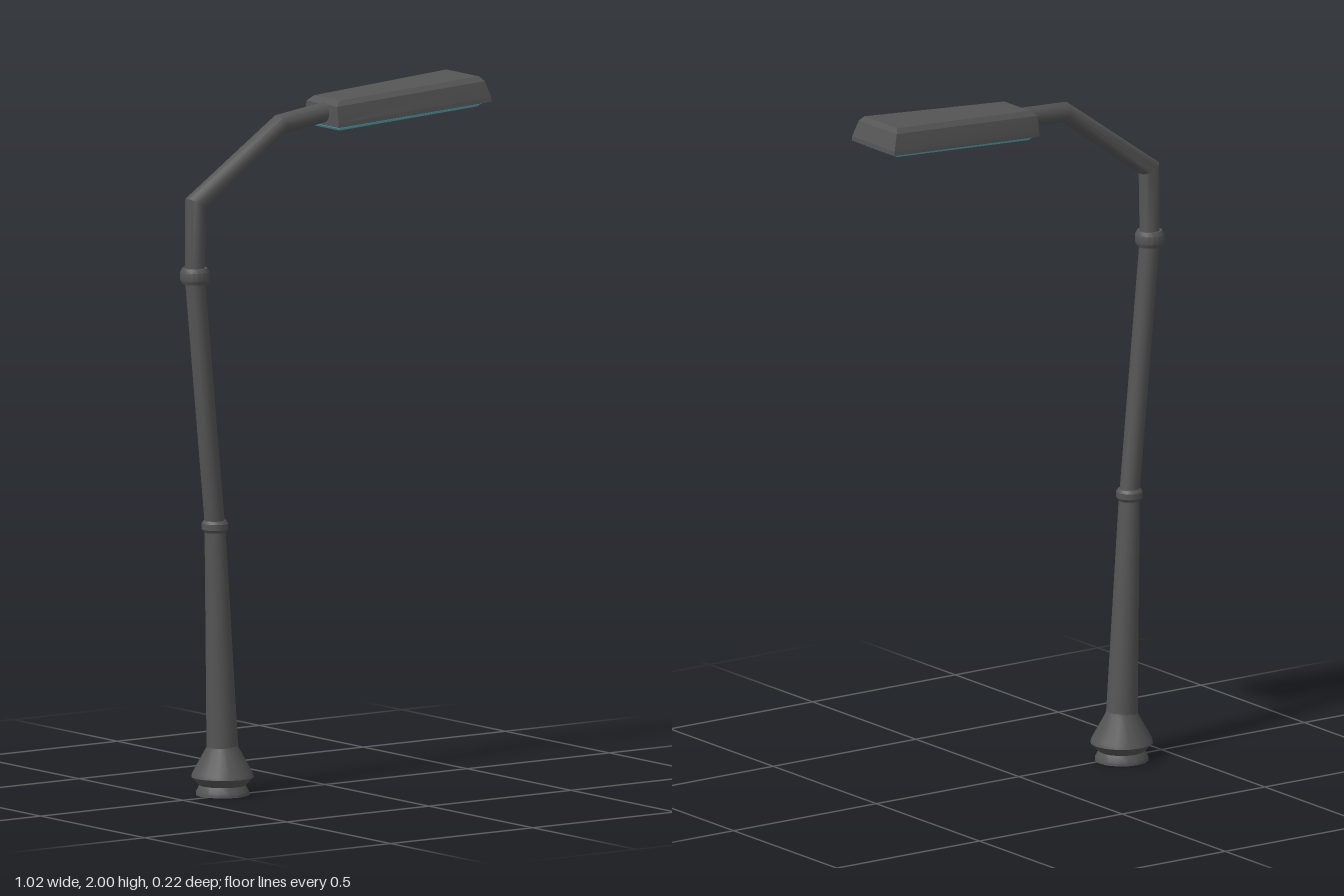
import * as THREE from 'three';
import { toCreasedNormals } from 'three/addons/utils/BufferGeometryUtils.js';

const SIDES = 16;
const metal = new THREE.MeshStandardMaterial({ color: 0x555555 });
const glass = new THREE.MeshStandardMaterial({ color: 0x5fb8c4 });

// Skin a stack of equal-length loops (counter-clockwise seen from the far end) and cap both ends
function skin(loops, crease) {
  const n = loops[0].length, pos = [];
  const tri = (...pts) => pts.forEach((p) => pos.push(p.x, p.y, p.z));
  for (let i = 0; i < loops.length - 1; i++) {
    for (let j = 0; j < n; j++) {
      const k = (j + 1) % n, a = loops[i], b = loops[i + 1];
      tri(a[j], a[k], b[k]);
      tri(a[j], b[k], b[j]);
    }
  }
  const first = loops[0], last = loops[loops.length - 1];
  for (let j = 1; j < n - 1; j++) {
    tri(first[0], first[j + 1], first[j]);
    tri(last[0], last[j], last[j + 1]);
  }
  const g = new THREE.BufferGeometry();
  g.setAttribute('position', new THREE.Float32BufferAttribute(pos, 3));
  return toCreasedNormals(g, crease);
}

// Round tube through stations [x, y, z, radius] with bent joints
function bentTube(stations) {
  const pts = stations.map((s) => new THREE.Vector3(s[0], s[1], s[2]));
  const dirs = pts.slice(1).map((p, i) => p.clone().sub(pts[i]).normalize());
  const loops = pts.map((p, i) => {
    const t = new THREE.Vector3();
    if (i > 0) t.add(dirs[i - 1]);
    if (i < dirs.length) t.add(dirs[i]);
    t.normalize();
    const u = new THREE.Vector3(0, 0, 1).addScaledVector(t, -t.z).normalize();
    const v = new THREE.Vector3().crossVectors(t, u);
    return Array.from({ length: SIDES }, (_, j) => {
      const a = (j / SIDES) * Math.PI * 2, r = stations[i][3];
      return p.clone().addScaledVector(u, r * Math.cos(a)).addScaledVector(v, r * Math.sin(a));
    });
  });
  return skin(loops, 0.6);
}

function turned(profile) {
  const pts = profile.map(([r, y]) => new THREE.Vector2(r, y));
  return toCreasedNormals(new THREE.LatheGeometry(pts, SIDES), 0.6);
}

// Tapered, tilted slab; each level is [height, left x, right x, left half width, right half width]
function slab(levels) {
  const tilt = (x) => 1.898 + 0.06 * (x + 0.015);
  return skin(levels.map(([h, x0, x1, w0, w1]) => [
    [x0, w0], [x1, w1], [x1, -w1], [x0, -w0],
  ].map(([x, z]) => new THREE.Vector3(x, tilt(x) + h, z + 0.004))), 0.2);
}

export function createModel() {
  const group = new THREE.Group();
  const add = (name, geometry, material = metal) => {
    const mesh = new THREE.Mesh(geometry, material);
    mesh.name = name;
    group.add(mesh);
    return mesh;
  };

  // Flared foot
  add('base', turned([[0, 0], [0.077, 0], [0.077, 0.008], [0.066, 0.028], [0.09, 0.052],
    [0.087, 0.062], [0.047, 0.135], [0.043, 0.15], [0, 0.15]])).position.set(-0.345, 0, -0.021);

  // Leaning pole sections and the bent arm
  add('lowerPole', bentTube([[-0.345, 0.12, -0.021, 0.046], [-0.377, 0.775, -0.014, 0.03]]));
  add('upperPole', bentTube([
    [-0.377, 0.775, -0.014, 0.029], [-0.472, 1.505, 0.019, 0.029],
    [-0.467, 1.715, 0.016, 0.032], [-0.185, 1.919, 0.037, 0.029], [0.03, 1.938, 0.004, 0.029],
  ]));

  // Collars at the pole joints
  const collars = [
    ['lowerCollar', -0.377, 0.775, -0.014, 0.038, 0.034],
    ['upperCollar', -0.472, 1.507, 0.019, 0.042, 0.046],
  ];
  for (const [name, x, y, z, r, h] of collars) {
    add(name, turned([[0.026, -h / 2], [r - 0.006, -h / 2], [r, -h / 4], [r, h / 4],
      [r - 0.006, h / 2], [0.026, h / 2]])).position.set(x, y, z);
  }

  // Lamp head with sloping sides and a bevelled top
  add('lampHousing', slab([
    [0, -0.015, 0.508, 0.082, 0.104],
    [0.013, -0.015, 0.507, 0.082, 0.103],
    [0.06, -0.014, 0.492, 0.074, 0.092],
    [0.074, 0.004, 0.481, 0.062, 0.079],
  ]));

  // Glass panel under the head
  add('lampGlass', slab([
    [-0.013, 0.005, 0.478, 0.058, 0.073],
    [-0.005, -0.003, 0.487, 0.066, 0.083],
    [0.004, -0.003, 0.487, 0.066, 0.083],
  ]), glass);

  return group;
}
